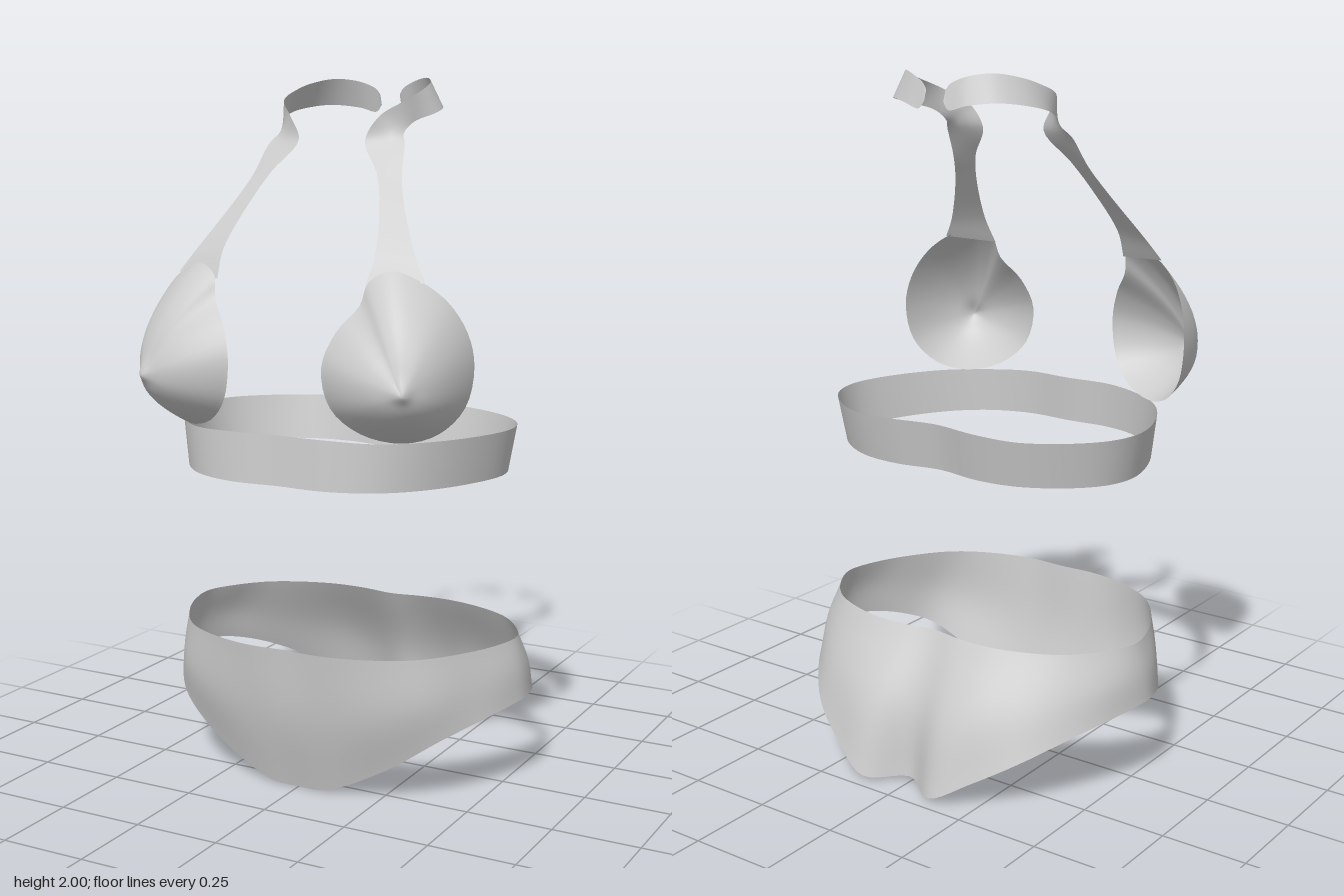
import * as THREE from 'three';
import { mergeVertices } from 'three/addons/utils/BufferGeometryUtils.js';
import { ParametricGeometry } from 'three/addons/geometries/ParametricGeometry.js';

const material = new THREE.MeshStandardMaterial({ color: 0xcccccc, side: THREE.DoubleSide });

const curve = (pts, closed = false) =>
  new THREE.CatmullRomCurve3(pts.map((p) => new THREE.Vector3(...p)), closed);

// Closed loop from a half outline running front centre -> +x side -> back centre
const mirroredLoop = (half) =>
  curve([...half, ...half.slice(1, -1).reverse().map(([x, y, z]) => [-x, y, z])], true);

// Smooth surface from a rule (u, v, target)
function surface(name, rule, uSteps, vSteps) {
  let geo = new ParametricGeometry(rule, uSteps, vSteps);
  geo.deleteAttribute('uv');
  geo.deleteAttribute('normal');
  geo = mergeVertices(geo, 1e-5);
  geo.computeVertexNormals();
  const mesh = new THREE.Mesh(geo, material);
  mesh.name = name;
  return mesh;
}

// Surface through several curves, from the first (v = 0) to the last (v = 1)
function loft(name, curves, uSteps, vSteps) {
  return surface(name, (u, v, target) => {
    const section = new THREE.CatmullRomCurve3(curves.map((c) => c.getPoint(u)));
    section.getPoint(v, target);
  }, uSteps, vSteps);
}

function createBriefs() {
  const waist = [
    [0, 0.43, 0.385], [0.12, 0.43, 0.388], [0.24, 0.43, 0.36], [0.36, 0.43, 0.295],
    [0.45, 0.43, 0.18], [0.505, 0.43, 0.06], [0.52, 0.43, -0.04], [0.47, 0.43, -0.14],
    [0.4, 0.43, -0.215], [0.3, 0.43, -0.265], [0.2, 0.43, -0.29], [0.1, 0.43, -0.29],
    [0, 0.43, -0.275],
  ];
  const hip = [
    [0, 0.22, 0.365], [0.11, 0.22, 0.362], [0.25, 0.25, 0.345], [0.39, 0.3, 0.285],
    [0.475, 0.33, 0.17], [0.53, 0.345, 0.06], [0.545, 0.345, -0.03], [0.51, 0.335, -0.15],
    [0.44, 0.31, -0.245], [0.34, 0.28, -0.33], [0.22, 0.25, -0.39], [0.12, 0.22, -0.41],
    [0, 0.22, -0.372],
  ];
  const legEdge = [
    [0, 0.004, 0.31], [0.09, 0.01, 0.312], [0.27, 0.095, 0.295], [0.41, 0.188, 0.25],
    [0.49, 0.232, 0.16], [0.54, 0.255, 0.06], [0.557, 0.262, -0.02], [0.53, 0.25, -0.14],
    [0.465, 0.215, -0.255], [0.36, 0.15, -0.37], [0.24, 0.08, -0.435], [0.12, 0.015, -0.468],
    [0, 0.02, -0.4],
  ];
  return loft('briefs', [legEdge, hip, waist].map(mirroredLoop), 120, 16);
}

function createChestBand() {
  const top = [
    [0, 1.04, 0.408], [0.15, 1.04, 0.412], [0.28, 1.035, 0.372], [0.38, 1.035, 0.29],
    [0.465, 1.035, 0.15], [0.505, 1.035, 0], [0.48, 1.035, -0.11], [0.4, 1.035, -0.205],
    [0.28, 1.035, -0.275], [0.15, 1.04, -0.292], [0, 1.04, -0.268],
  ];
  // The lower edge is a little tighter at the sides and back
  const bottom = top.map(([x, , z]) => [x * 0.955, 0.902, z > 0 ? z * 1.02 : z * 0.91]);
  return loft('chestBand', [mirroredLoop(bottom), mirroredLoop(top)], 100, 4);
}

function createCup() {
  const rim = curve([
    [0.335, 1.035, 0.33], [0.42, 1.06, 0.285], [0.48, 1.13, 0.25], [0.5, 1.24, 0.238],
    [0.485, 1.33, 0.25], [0.44, 1.41, 0.275], [0.37, 1.465, 0.3], [0.295, 1.49, 0.325],
    [0.24, 1.46, 0.345], [0.225, 1.4, 0.365], [0.175, 1.33, 0.405], [0.145, 1.24, 0.43],
    [0.165, 1.13, 0.42], [0.235, 1.06, 0.38],
  ], true);
  const centre = new THREE.Vector3(0.33, 1.19, 0.335);
  const outward = new THREE.Vector3(0.47, -0.03, 0.88).normalize();
  return surface('cup', (u, v, target) => {
    const bulge = 0.145 * (1 - Math.pow(1 - v, 1.9));
    const tip = 0.012 * Math.exp(-Math.pow((1 - v) / 0.12, 2));
    target.copy(rim.getPoint(u)).lerp(centre, v).addScaledVector(outward, bulge + tip);
  }, 56, 24);
}

// Ribbon rising from the cup, twisting at the shoulder and circling the neck
function createStrap() {
  const outerEdge = curve([
    [0.385, 1.46, 0.3], [0.345, 1.52, 0.275], [0.27, 1.65, 0.195], [0.235, 1.73, 0.14],
    [0.215, 1.815, 0.085], [0.198, 1.845, 0.055], [0.208, 1.875, 0.015],
    [0.235, 1.9, -0.07], [0.225, 1.915, -0.14], [0.175, 1.925, -0.21],
    [0.1, 1.917, -0.253], [0.05, 1.905, -0.262], [0.032, 1.925, -0.26],
  ]);
  const innerEdge = curve([
    [0.23, 1.45, 0.345], [0.237, 1.53, 0.3], [0.2, 1.665, 0.205], [0.165, 1.74, 0.155],
    [0.105, 1.825, 0.108], [0.14, 1.89, 0.092], [0.195, 1.935, 0.035],
    [0.205, 1.968, -0.06], [0.19, 1.988, -0.13], [0.148, 2, -0.19],
    [0.09, 1.992, -0.232], [0.045, 1.972, -0.247], [0.032, 1.955, -0.25],
  ]);
  return loft('strap', [outerEdge, innerEdge], 72, 4);
}

export function createModel() {
  const model = new THREE.Group();
  model.name = 'twoPieceSwimsuit';
  model.add(createBriefs(), createChestBand());
  for (const [name, side] of [['left', 1], ['right', -1]]) {
    const half = new THREE.Group();
    half.name = `${name}CupAndStrap`;
    half.add(createCup(), createStrap());
    half.scale.x = side;
    model.add(half);
  }
  return model;
}
